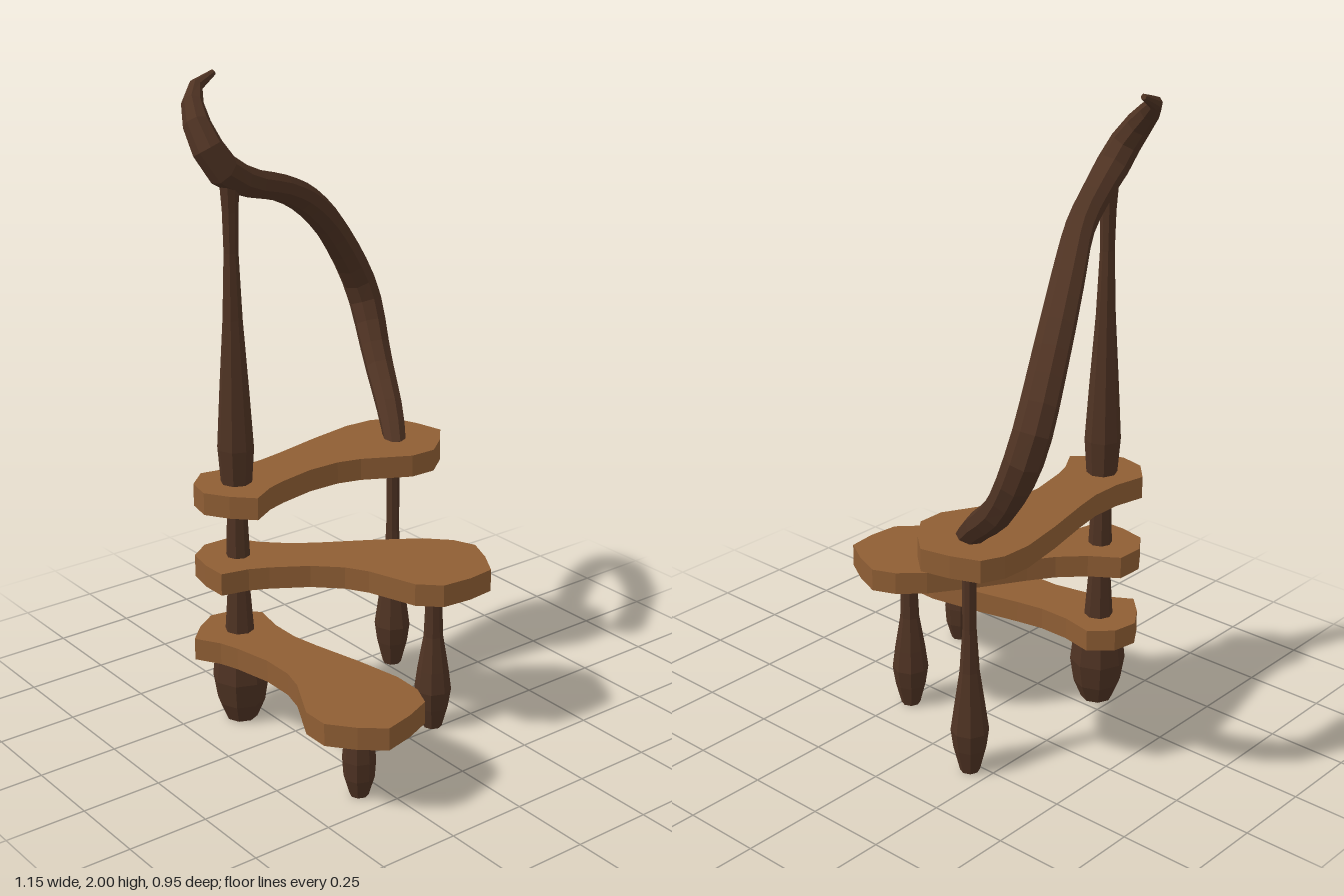
import * as THREE from 'three';

const tan = new THREE.MeshStandardMaterial({ color: 0x8f5e34, flatShading: true });
const dark = new THREE.MeshStandardMaterial({ color: 0x4f3323, flatShading: true });
const POST = new THREE.Vector3(-0.19, 0, 0.32);
const THICK = 0.07;
const LEG_REACH = 0.6;

function addMesh(parent, name, geometry, material) {
  const mesh = new THREE.Mesh(geometry, material);
  mesh.name = name;
  parent.add(mesh);
  return mesh;
}

// Turned wooden piece from [radius, height] pairs, closed at both ends
function turned(profile) {
  const first = profile[0], last = profile[profile.length - 1];
  const points = [[0, first[1]], ...profile, [0, last[1]]];
  return new THREE.LatheGeometry(points.map(([r, y]) => new THREE.Vector2(r, y)), 8);
}

// Petal-shaped tread: x runs outward from the post, top face at y = 0
function treadGeometry() {
  const outline = [
    [0.772, 0.027], [0.715, 0.095], [0.64, 0.155], [0.555, 0.155], [0.41, 0.08],
    [0.335, 0.06], [0.23, 0.06], [0.11, 0.085], [0.05, 0.105], [-0.025, 0.15],
    [-0.085, 0.09], [-0.13, 0.02], [-0.115, -0.06], [-0.05, -0.12], [0.05, -0.1],
    [0.15, -0.1], [0.24, -0.117], [0.4, -0.155], [0.55, -0.183], [0.645, -0.18],
    [0.715, -0.15], [0.75, -0.065],
  ].map(([x, y]) => new THREE.Vector2(x, y));
  const geometry = new THREE.ExtrudeGeometry(new THREE.Shape(outline), { depth: THICK, bevelEnabled: false });
  return geometry.rotateX(Math.PI / 2);
}

// Tube along a smooth path of [x, y, z, radius], tapered ring by ring
function taperedRail(stops, segments, sides) {
  const curve = new THREE.CatmullRomCurve3(stops.map(([x, y, z]) => new THREE.Vector3(x, y, z)));
  const radii = new THREE.CatmullRomCurve3(stops.map(([x, y, z, r]) => new THREE.Vector3(r, 0, 0)));
  const geometry = new THREE.TubeGeometry(curve, segments, 1, sides, false);
  const pos = geometry.attributes.position;
  const v = new THREE.Vector3();
  const index = Array.from(geometry.index.array);
  for (let i = 0; i <= segments; i++) {
    const t = curve.getUtoTmapping(i / segments);
    const centre = curve.getPoint(t), radius = radii.getPoint(t).x;
    for (let j = 0; j <= sides; j++) {
      const k = i * (sides + 1) + j;
      v.fromBufferAttribute(pos, k).sub(centre).multiplyScalar(radius).add(centre);
      pos.setXYZ(k, v.x, v.y, v.z);
    }
  }
  // End caps
  const end = segments * (sides + 1);
  for (let j = 1; j < sides - 1; j++) {
    index.push(0, j, j + 1, end, end + j + 1, end + j);
  }
  geometry.setIndex(index);
  geometry.computeVertexNormals();
  return geometry;
}

export function createModel() {
  const model = new THREE.Group();
  model.name = 'spiralStaircase';

  // Central post with a bulbous foot
  const post = addMesh(model, 'centralPost', turned([
    [0.05, 0], [0.075, 0.06], [0.088, 0.14], [0.08, 0.21], [0.055, 0.27], [0.045, 0.3],
    [0.032, 0.48], [0.037, 0.55], [0.03, 0.72], [0.048, 0.79], [0.056, 0.9],
    [0.045, 1.08], [0.03, 1.3], [0.022, 1.5], [0.024, 1.62], [0.03, 1.71],
  ]), dark);
  post.position.copy(POST);

  // Treads fan out and rise around the post, each on its own leg
  const steps = [
    { top: 0.3, angle: 0, leg: [[0.028, 0], [0.046, 0.06], [0.05, 0.12], [0.045, 0.17], [0.028, 0.24]] },
    { top: 0.55, angle: 45.7, leg: [[0.03, 0], [0.048, 0.07], [0.057, 0.13], [0.048, 0.2], [0.03, 0.31], [0.023, 0.49]] },
    { top: 0.79, angle: 89.3, leg: [[0.03, 0], [0.05, 0.08], [0.058, 0.14], [0.047, 0.22], [0.03, 0.34], [0.021, 0.48], [0.021, 0.73]] },
  ];
  const tread = treadGeometry();
  steps.forEach(({ top, angle, leg }, i) => {
    const step = new THREE.Group();
    step.name = `step${i + 1}`;
    step.position.copy(POST);
    step.rotation.y = THREE.MathUtils.degToRad(angle);
    addMesh(step, 'tread', tread, tan).position.y = top;
    addMesh(step, 'treadLeg', turned(leg), dark).position.x = LEG_REACH;
    model.add(step);
  });

  // Handrail sweeping from the top tread over the post into a curled tip
  addMesh(model, 'handrail', taperedRail([
    [-0.17, 0.765, -0.28, 0.035], [-0.25, 0.84, -0.325, 0.042], [-0.41, 0.98, -0.395, 0.048],
    [-0.515, 1.18, -0.415, 0.055], [-0.47, 1.41, -0.265, 0.052], [-0.385, 1.55, -0.1, 0.048],
    [-0.28, 1.64, 0.08, 0.043], [-0.205, 1.695, 0.25, 0.045], [-0.18, 1.75, 0.35, 0.05],
    [-0.205, 1.83, 0.392, 0.046], [-0.285, 1.915, 0.375, 0.034], [-0.35, 1.965, 0.315, 0.019],
    [-0.355, 1.99, 0.255, 0.009],
  ], 26, 8), dark);

  return model;
}
